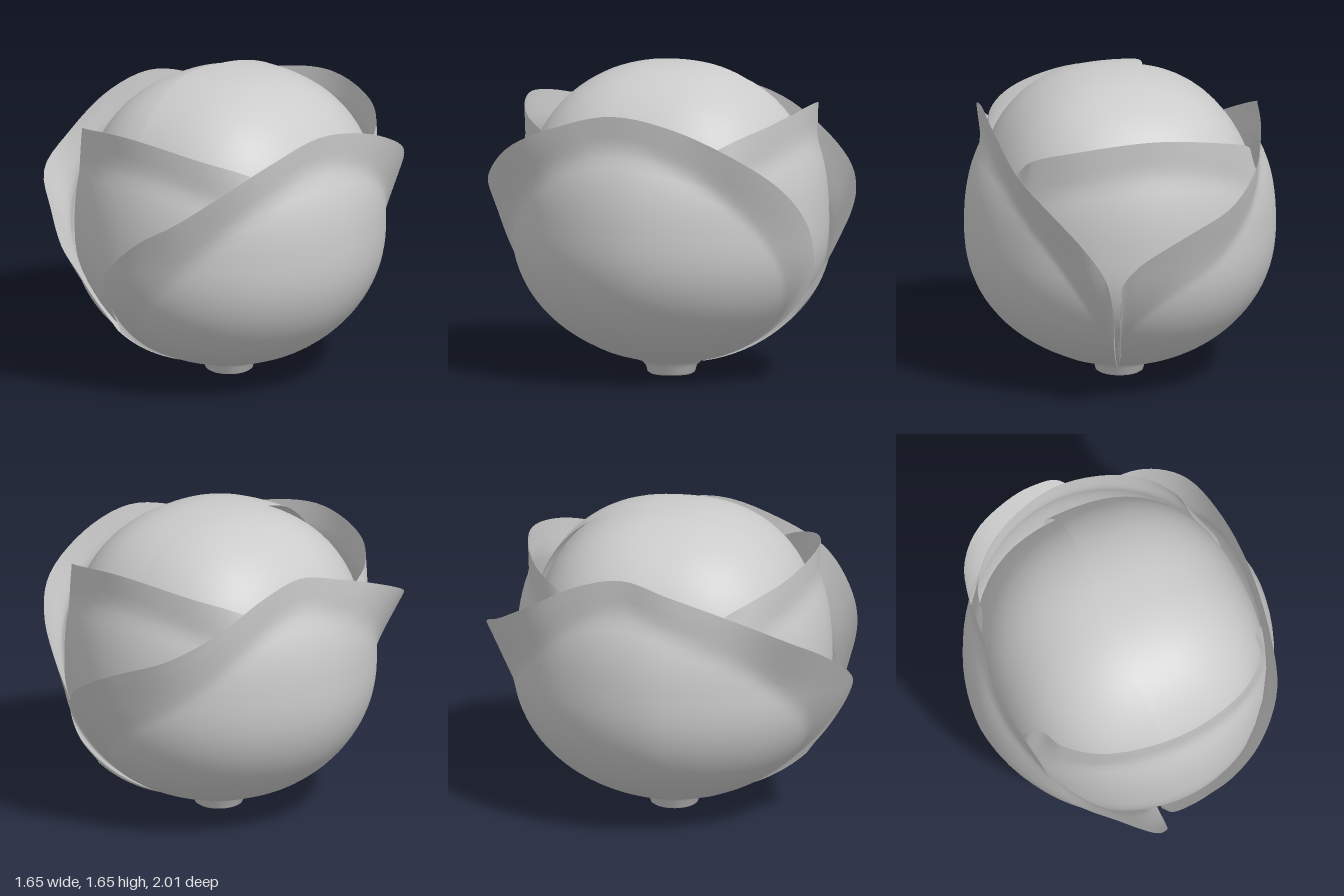
import * as THREE from 'three';

const material = new THREE.MeshStandardMaterial({ color: 0xcccccc, side: THREE.DoubleSide });

// Smooth grid surface from a rule f(u, v) -> [x, y, z]
function surface(name, nu, nv, f) {
  const pos = [], idx = [];
  for (let i = 0; i <= nu; i++)
    for (let j = 0; j <= nv; j++) pos.push(...f(i / nu, j / nv));
  for (let i = 0; i < nu; i++)
    for (let j = 0; j < nv; j++) {
      const a = i * (nv + 1) + j, b = a + nv + 1;
      idx.push(a, b, a + 1, b, b + 1, a + 1);
    }
  const geo = new THREE.BufferGeometry();
  geo.setAttribute('position', new THREE.Float32BufferAttribute(pos, 3));
  geo.setIndex(idx);
  geo.computeVertexNormals();
  const mesh = new THREE.Mesh(geo, material);
  mesh.name = name;
  return mesh;
}

// Radius of the cupped leaf body at height y: full belly with a soft keel on
// the midrib of each side leaf, drawn in towards the top
function bodyRadius(y, angle) {
  const c = Math.cos(angle) ** 2;
  const keel = Math.max(0, 1 - 2 * Math.sqrt(c));
  const belly = 0.805 * (1 + 0.05 * c + 0.02 * keel);
  if (y > 0.8) return belly * (1 - 0.13 * (1 - 0.35 * c) * ((y - 0.8) / 0.47) ** 2.6);
  return belly * Math.max(0, 1 - ((0.8 - y) / 0.74) ** 2.2) ** 0.53;
}

// Leaf that rises from the stem along the body and curls out in a band at its rim
function leaf(name, rim, scale) {
  const curve = new THREE.CatmullRomCurve3(rim.map(p => new THREE.Vector3(...p)), false, 'centripetal');
  return surface(name, 72, 32, (u, v) => {
    const p = curve.getPoint(u);
    const angle = Math.atan2(p.x, p.z);
    const y = 0.08 + (p.y - 0.08) * v ** 1.3;
    const band = THREE.MathUtils.mapLinear(THREE.MathUtils.clamp(p.y, 0.85, 1.45), 0.85, 1.45, 0.4, 0.2);
    const curl = Math.max(0, 1 - (p.y - y) / band) ** 1.3;
    const r = scale * bodyRadius(y, angle)
      + (Math.hypot(p.x, p.z) - scale * bodyRadius(p.y, angle)) * curl;
    return [Math.sin(angle) * r, y, Math.cos(angle) * r];
  });
}

// Point of the rounded, slightly boxy head in direction (x, y, z)
function headPoint(x, y, z, s) {
  const n = 2.3, plan = 2.4;
  const across = (Math.abs(x) ** plan + Math.abs(z) ** plan) ** (1 / plan);
  const r = s * (across ** n + Math.abs(y) ** n) ** (-1 / n);
  return [0.73 * r * x, 0.85 + 0.8 * r * y, 0.76 * r * z];
}

export function createModel() {
  const group = new THREE.Group();
  group.name = 'cabbage';

  // Closed inner head
  group.add(surface('head', 64, 40, (u, v) => {
    const a = u * Math.PI * 2, b = (v - 0.5) * Math.PI;
    return headPoint(Math.cos(b) * Math.sin(a), Math.sin(b), Math.cos(b) * Math.cos(a), 0.975);
  }));

  // Leaf wrapped over one half of the head, with a wavy edge across the top
  const seam = new THREE.CatmullRomCurve3(
    [-0.07, -0.065, -0.045, -0.09, -0.15, -0.1, -0.08, -0.07].map((x, i) => new THREE.Vector3(x, 0, i)));
  group.add(surface('headWrapLeaf', 48, 24, (u, v) => {
    const t = (u - 0.5) * Math.PI;
    const start = Math.asin(seam.getPoint(u).x / 0.74);
    const b = start + (Math.PI / 2 - start) * v;
    const lip = 1 + 0.006 * Math.max(0, 1 - v * 6);
    return headPoint(Math.sin(b), Math.cos(b) * Math.cos(t), Math.cos(b) * Math.sin(t), lip);
  }));

  // Front and back inner leaves
  const half = [[0.74, 0.7, 0.2], [0.68, 1.1, 0.28], [0.62, 1.23, 0.36], [0.58, 1.32, 0.5], [0.4, 1.4, 0.67]];
  const innerRim = [...half.map(([x, y, z]) => [-x, y, z]), [0, 1.46, 0.77], ...half.slice().reverse()];
  group.add(leaf('frontLeaf', innerRim, 0.985));
  group.add(leaf('backLeaf', innerRim.map(([x, y, z]) => [-x, y, -z]), 0.985));

  // Outer side leaves, rims listed from front to back
  group.add(leaf('leftLeaf', [
    [-0.11, 0.36, 0.73], [-0.1, 0.67, 0.88], [0, 0.8, 0.92], [0.2, 0.97, 0.94], [0.4, 1.1, 0.87],
    [0.58, 1.26, 0.7], [0.67, 1.38, 0.43], [0.72, 1.46, 0.1], [0.73, 1.4, -0.25], [0.68, 1.25, -0.58],
    [0.55, 1.1, -0.76], [0.4, 0.93, -0.85], [0.28, 0.75, -0.87], [0.23, 0.55, -0.84], [0.2, 0.36, -0.72],
  ], 1));
  group.add(leaf('rightLeaf', [
    [-0.13, 0.36, 0.73], [-0.17, 0.6, 0.9], [-0.2, 0.73, 0.97], [-0.28, 0.85, 1], [-0.45, 1, 0.9],
    [-0.65, 1.14, 0.73], [-0.72, 1.26, 0.46], [-0.76, 1.39, 0.1], [-0.71, 1.45, -0.15], [-0.67, 1.39, -0.4],
    [-0.58, 1.24, -0.66], [-0.4, 1.1, -0.86], [-0.15, 1, -0.97], [0, 0.93, -1], [0.13, 0.85, -1],
    [0.21, 0.72, -0.94], [0.2, 0.55, -0.88], [0.18, 0.36, -0.73],
  ], 1.008));

  // Cut stem with a flared collar
  const profile = [[0, 0], [0.11, 0], [0.125, 0.01], [0.135, 0.045], [0.16, 0.07], [0.22, 0.09], [0.3, 0.12]];
  const stem = new THREE.Mesh(
    new THREE.LatheGeometry(profile.map(([x, y]) => new THREE.Vector2(x, y)), 32), material);
  stem.name = 'stem';
  group.add(stem);
  return group;
}
